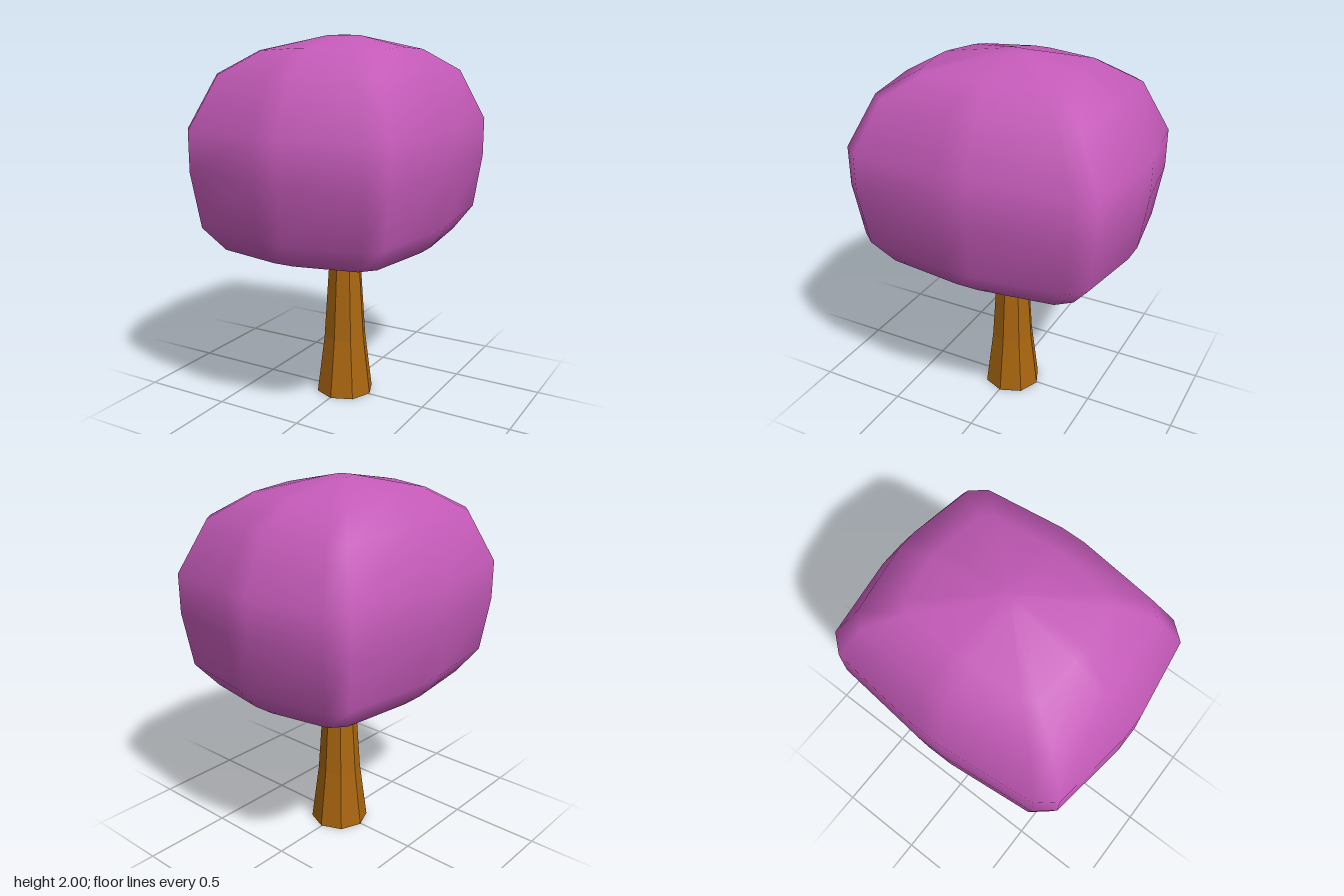
import * as THREE from 'three';

const leafMaterial = new THREE.MeshStandardMaterial({ color: 0xc45ab8 });
leafMaterial.name = 'pinkLeaves';
const barkMaterial = new THREE.MeshStandardMaterial({ color: 0xa9660f, flatShading: true, side: THREE.DoubleSide });
barkMaterial.name = 'brownBark';

// One quarter of the crown's plan outline [x, z], from the +x side to the +z side
const quarter = [[0.625, 0.08], [0.575, 0.59], [0.495, 0.685], [0.07, 0.745]];

// Mirror the quarter into the full 16-point outline
function crownOutline() {
  const back = [...quarter].reverse();
  return [
    ...quarter,
    ...back.map(([x, z]) => [-x, z]),
    ...quarter.map(([x, z]) => [-x, -z]),
    ...back.map(([x, z]) => [x, -z]),
  ];
}

// Crown rings, bottom to top: [height, outline scale, height offset at the corners]
const rings = [
  [0.85, 0.1, 0],
  [0.9, 0.795, 0.01],
  [1.03, 0.94, 0.01],
  [1.33, 1, 0],
  [1.54, 1, 0],
  [1.83, 0.81, -0.02],
  [1.94, 0.54, -0.015],
  [2.0, 0.1, 0],
];

// Boxy, softly bulging loft closed by a fan at each end
function crownGeometry() {
  const outline = crownOutline();
  const n = outline.length;
  const positions = [];
  const index = [];
  for (const [y, s, corner] of rings) {
    for (const [x, z] of outline) {
      const isCorner = Math.abs(x) > 0.4 && Math.abs(z) > 0.4;
      positions.push(x * s, y + (isCorner ? corner : 0), z * s);
    }
  }
  const last = rings.length - 1;
  const bottom = n * rings.length;
  const top = bottom + 1;
  positions.push(0, rings[0][0], 0, 0, rings[last][0], 0);

  for (let i = 0; i < n; i++) {
    const j = (i + 1) % n;
    for (let r = 0; r < last; r++) {
      const a = r * n + i, b = r * n + j, c = a + n, d = b + n;
      index.push(a, c, b, b, c, d);
    }
    index.push(bottom, i, j, top, last * n + j, last * n + i);
  }
  const geometry = new THREE.BufferGeometry();
  geometry.setAttribute('position', new THREE.Float32BufferAttribute(positions, 3));
  geometry.setIndex(index);
  geometry.computeVertexNormals();
  return geometry;
}

// Flared eight-sided trunk, open at the foot
function trunkGeometry() {
  const profile = [[0.162, 0], [0.12, 0.33], [0.082, 0.9]].map(([r, y]) => new THREE.Vector2(r, y));
  const geometry = new THREE.LatheGeometry(profile, 8).toNonIndexed();
  geometry.computeVertexNormals();
  return geometry;
}

export function createModel() {
  const tree = new THREE.Group();
  tree.name = 'tree';

  const trunk = new THREE.Mesh(trunkGeometry(), barkMaterial);
  trunk.name = 'trunk';
  trunk.position.set(0.005, 0, -0.006);

  const crown = new THREE.Mesh(crownGeometry(), leafMaterial);
  crown.name = 'crown';

  tree.add(trunk, crown);
  return tree;
}
